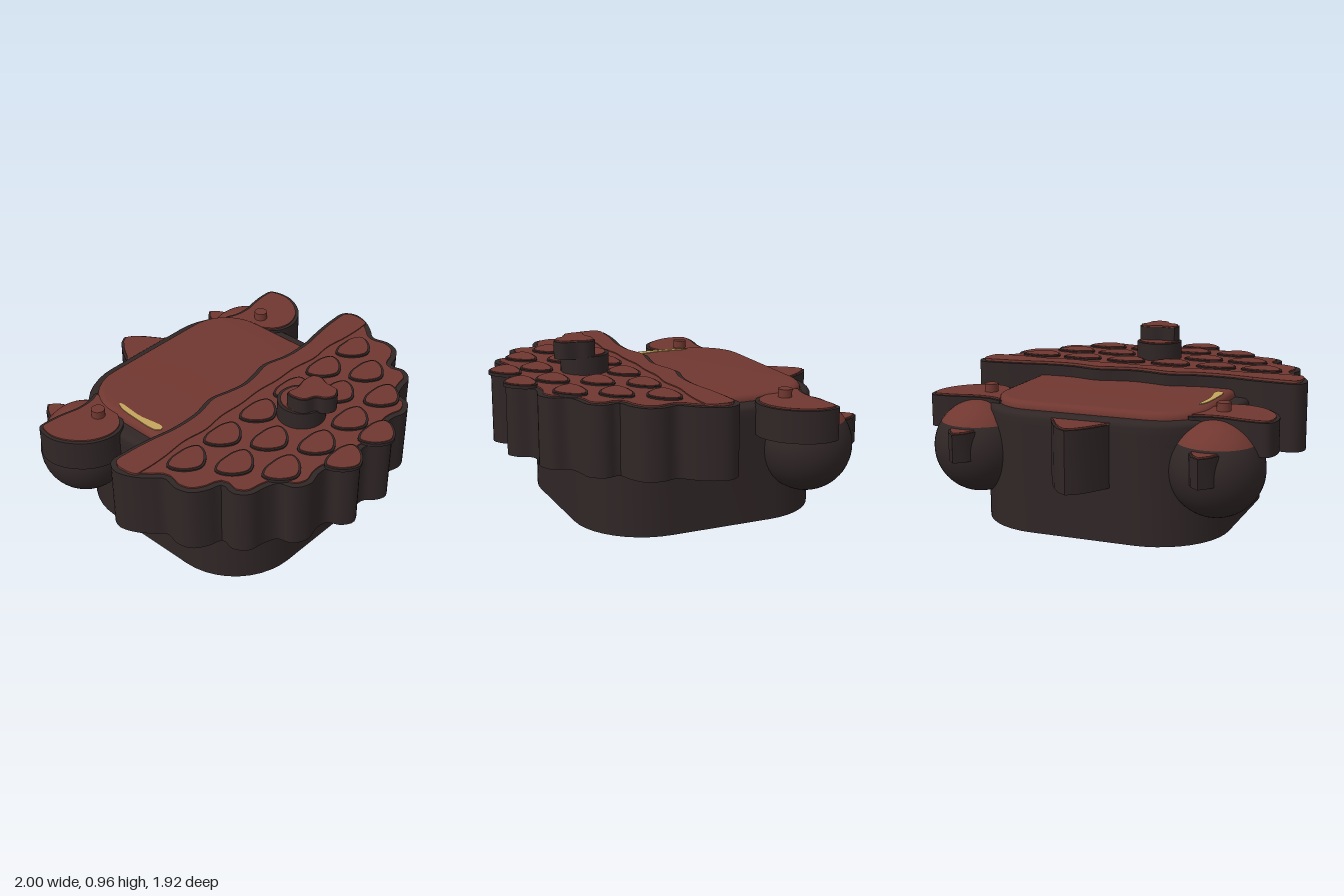
import * as THREE from 'three';
import { toCreasedNormals } from 'three/addons/utils/BufferGeometryUtils.js';

const material = (name, color) => new THREE.MeshStandardMaterial({ name, color });

// Smooth closed outline through [x, z] points
function smooth(points, count = 100) {
  const curve = new THREE.CatmullRomCurve3(points.map(([x, z]) => new THREE.Vector3(x, 0, z)), true);
  return curve.getSpacedPoints(count).slice(0, -1).map((p) => [p.x, p.z]);
}

// Rounded rectangle as [x, z] points
function roundedRect(halfX, z0, z1, r) {
  const out = [];
  [[1, 1], [-1, 1], [-1, -1], [1, -1]].forEach(([sx, sz], q) => {
    for (let i = 0; i <= 10; i++) {
      const a = (q + i / 10) * Math.PI / 2;
      out.push([sx * (halfX - r) + r * Math.cos(a), (sz > 0 ? z1 - r : z0 + r) + r * Math.sin(a)]);
    }
  });
  return out;
}

// Move an outline inwards by d
function inset(points, d) {
  const sign = Math.sign(THREE.ShapeUtils.area(points.map(([x, z]) => new THREE.Vector2(x, z))));
  const n = points.length;
  return points.map(([x, z], i) => {
    const a = points[(i + n - 1) % n], b = points[(i + 1) % n];
    const dx = b[0] - a[0], dz = b[1] - a[1], l = Math.hypot(dx, dz) || 1;
    return [x - sign * d * dz / l, z + sign * d * dx / l];
  });
}

const mirror = (points) => points.map(([x, z]) => [-x, z]);

export function createModel() {
  const model = new THREE.Group();
  model.name = 'shelledCreature';
  const dark = material('dark brown', 0x302626);
  const red = material('red brown', 0x703730);
  const gold = material('gold', 0xc4a55c);

  function add(name, geometry, mat, x = 0, y = 0, z = 0) {
    const mesh = new THREE.Mesh(geometry, mat);
    mesh.name = name;
    mesh.position.set(x, y, z);
    model.add(mesh);
    return mesh;
  }

  // Upright slab with an [x, z] outline, from y0 to y1
  function slab(name, points, y0, y1, mat, bevel = 0) {
    const shape = new THREE.Shape(points.map(([x, z]) => new THREE.Vector2(x, -z)));
    const g = new THREE.ExtrudeGeometry(shape, {
      depth: y1 - y0 - 2 * bevel, bevelEnabled: bevel > 0, bevelSize: bevel,
      bevelThickness: bevel, bevelOffset: -bevel, bevelSegments: 4,
    });
    g.rotateX(-Math.PI / 2);
    return add(name, toCreasedNormals(g, 0.6), mat, 0, y0 + bevel, 0);
  }

  // Dark slab with an inset red face on top
  function tile(name, points, y0, y1, border, lift = 0.008) {
    slab(name, points, y0, y1, dark);
    slab(name + 'Face', inset(points, border), y1 - 0.001, y1 + lift, red);
  }

  // Body: dark sides, rounded rim, raised red back and red underside
  const bodyOutline = roundedRect(0.69, -0.76, 0.63, 0.4);
  slab('body', bodyOutline, 0.003, 0.6, dark);
  slab('bodyRim', bodyOutline, 0.5, 0.66, dark, 0.03);
  slab('bodyBack', roundedRect(0.605, -0.69, 0.3, 0.27), 0.6, 0.7, red, 0.035);
  slab('underside', inset(bodyOutline, 0.03), 0, 0.006, red);

  // Gold streak on the back
  slab('goldStreak', smooth([[-0.535, -0.42], [-0.53, -0.4], [-0.54, -0.25], [-0.525, -0.09],
    [-0.545, -0.075], [-0.57, -0.1], [-0.573, -0.24], [-0.558, -0.38]], 40), 0.699, 0.704, gold);

  // Scalloped shell, one half mirrored
  const half = [[0.1, 0.005], [0.22, -0.02], [0.38, 0.015], [0.55, 0.015], [0.7, -0.01], [0.85, -0.025],
    [0.96, -0.02], [1.0, 0.05], [0.97, 0.15], [0.92, 0.22], [0.87, 0.28], [0.885, 0.37], [0.86, 0.45],
    [0.79, 0.5], [0.71, 0.53], [0.72, 0.61], [0.67, 0.68], [0.58, 0.7], [0.51, 0.73], [0.48, 0.81],
    [0.4, 0.85], [0.31, 0.83], [0.24, 0.84], [0.2, 0.91], [0.14, 0.945], [0.08, 0.92], [0.04, 0.88]];
  const shell = smooth([[0, 0.02], ...half, [0, 0.87], ...mirror(half).reverse()], 240);
  tile('shell', shell, 0.38, 0.762, 0.03);

  // Wavy band along the rear edge of the shell
  const rear = half.slice(0, 10);
  const band = [[0, 0.02], ...rear.slice(0, 9)];
  const lower = [[0.9, 0.165], [0.75, 0.165], [0.6, 0.15], [0.45, 0.165], [0.3, 0.145], [0.15, 0.15]];
  const bandOutline = smooth([...band, ...lower, [0, 0.14], ...mirror(lower).reverse(),
    ...mirror(band.slice(1)).reverse()], 160);
  slab('shellBand', inset(bandOutline, 0.03).map(([x, z]) => [x, z > 0.08 ? z + 0.03 : z]), 0.765, 0.776, red);

  // Rows of shell scales
  const scaleShape = [[-0.11, -0.05], [-0.06, -0.08], [0, -0.085], [0.06, -0.08], [0.11, -0.05],
    [0.105, 0], [0.06, 0.06], [0, 0.088], [-0.06, 0.06], [-0.105, 0]];
  const rows = [[0.28, [0.14, 0.42, 0.69]], [0.485, [0.28, 0.55]], [0.69, [0.14, 0.42]], [0.87, [0.14]]];
  for (const [z, xs] of rows) {
    for (const x of xs.flatMap((v) => [v, -v])) {
      const outline = smooth(scaleShape.map(([px, pz]) => [px * 1.05 + x, pz + z]), 40);
      tile('shellScale', outline, 0.76, 0.778, 0.011, 0.005);
    }
  }

  // Knob on the shell: round base and a hooked cap
  add('knobBase', new THREE.CylinderGeometry(0.133, 0.133, 0.12, 40), dark, 0, 0.81, 0.45);
  add('knobBaseFace', new THREE.CylinderGeometry(0.115, 0.115, 0.008, 40), red, 0, 0.872, 0.45);
  tile('knobCap', smooth([[-0.1, 0.43], [-0.02, 0.435], [0.04, 0.42], [0.11, 0.43], [0.13, 0.48],
    [0.11, 0.53], [0.1, 0.61], [0.04, 0.64], [-0.01, 0.61], [-0.03, 0.57], [-0.09, 0.54],
    [-0.11, 0.48]], 60), 0.86, 0.955, 0.008);

  // Tail
  const tail = [[0.17, -0.74], [0.15, -0.79], [0.1, -0.87], [0.05, -0.93], [0, -0.96]];
  tile('tail', [...tail, ...mirror(tail.slice(0, 4)).reverse()], 0.3, 0.636, 0.014);

  // Paired flippers, pegs, ball feet and claws
  const flipper = smooth([[0.96, -0.605], [0.985, -0.5], [0.95, -0.39], [0.86, -0.29], [0.74, -0.25],
    [0.64, -0.28], [0.57, -0.38], [0.53, -0.5], [0.54, -0.61], [0.61, -0.59], [0.7, -0.585],
    [0.8, -0.605], [0.9, -0.615]]);
  const claw = [[0.755, -0.74], [0.755, -0.79], [0.73, -0.84], [0.68, -0.89], [0.63, -0.85],
    [0.6, -0.79], [0.6, -0.74]];
  const cut = 0.31 * Math.PI;
  for (const side of [1, -1]) {
    const name = side > 0 ? 'left' : 'right';
    const place = (pts) => (side > 0 ? pts : mirror(pts));
    tile(name + 'Flipper', place(flipper), 0.5, 0.677, 0.02);
    add(name + 'Peg', new THREE.CylinderGeometry(0.038, 0.038, 0.08, 24), red, side * 0.675, 0.69, -0.44);
    add(name + 'Foot', new THREE.SphereGeometry(0.256, 40, 24, 0, Math.PI * 2, cut, Math.PI - cut),
      dark, side * 0.68, 0.41, -0.57);
    add(name + 'FootTop', new THREE.SphereGeometry(0.256, 40, 12, 0, Math.PI * 2, 0, cut),
      red, side * 0.68, 0.41, -0.57);
    tile(name + 'Claw', place(claw), 0.38, 0.535, 0.012);
  }
  return model;
}
